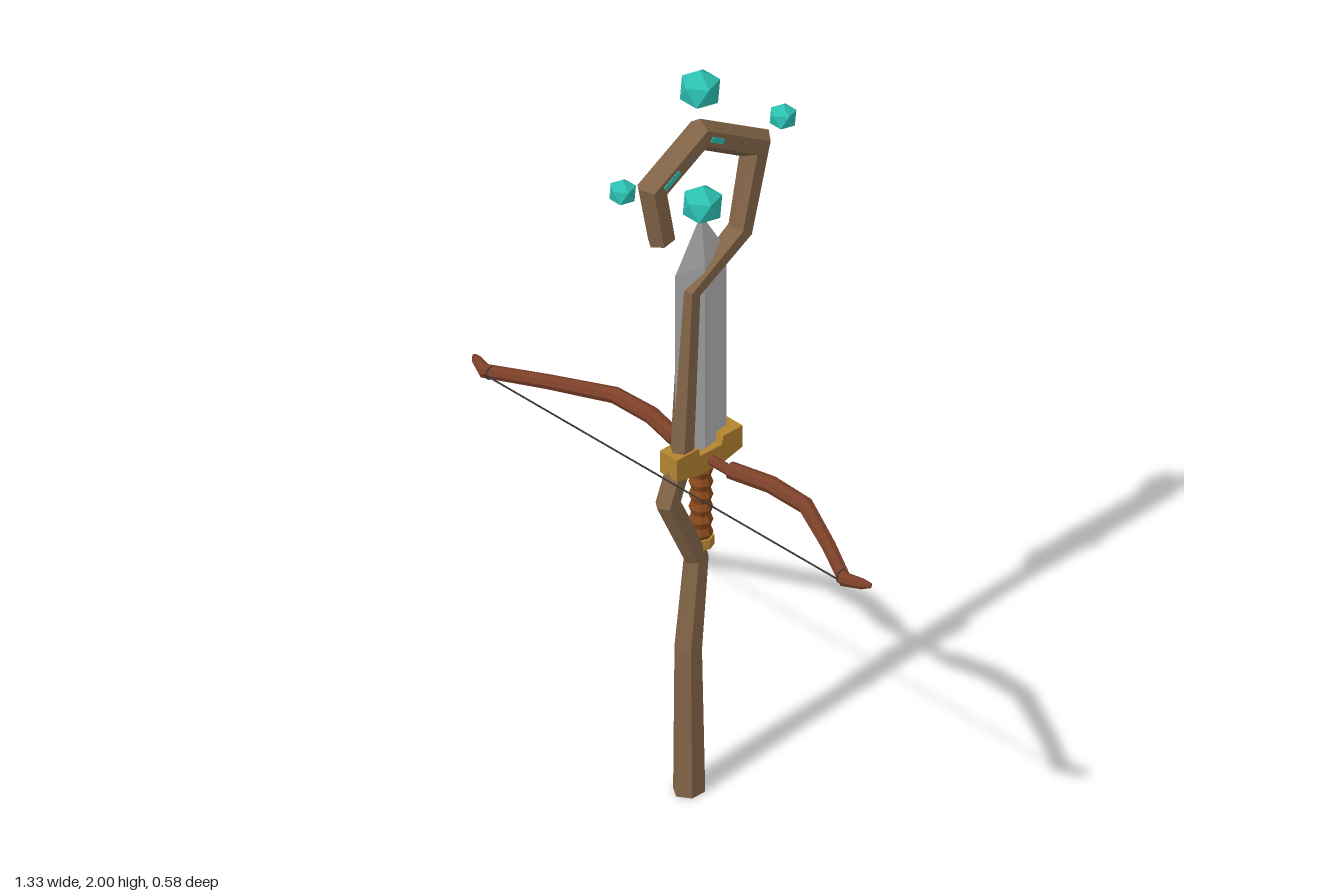
import * as THREE from 'three';
import { ConvexGeometry } from 'three/addons/geometries/ConvexGeometry.js';

const mat = (name, color) => {
  const m = new THREE.MeshStandardMaterial({ color });
  m.name = name;
  return m;
};

// give a geometry one flat normal per face
function faceted(geo) {
  const g = geo.index ? geo.toNonIndexed() : geo;
  g.computeVertexNormals();
  return g;
}

// mitred sweep along a planar path of [u, v, radius]; U and V are the plane's axes
function sweep(path, sides, U, V, flat = 1) {
  const W = new THREE.Vector3().crossVectors(U, V);
  const dirs = path.slice(1).map((p, i) =>
    new THREE.Vector2(p[0] - path[i][0], p[1] - path[i][1]).normalize());
  const pos = [], index = [], last = path.length - 1;
  const put = (u, v, w) => {
    const p = new THREE.Vector3().addScaledVector(U, u).addScaledVector(V, v).addScaledVector(W, w);
    pos.push(p.x, p.y, p.z);
  };
  path.forEach(([u, v, r], i) => {
    const a = dirs[Math.max(i - 1, 0)], b = dirs[Math.min(i, last - 1)];
    const t = a.clone().add(b).normalize();
    const miter = 1 / t.dot(a);
    for (let k = 0; k < sides; k++) {
      const ang = (k / sides) * Math.PI * 2;
      const n = r * Math.cos(ang) * miter;
      put(u - t.y * n, v + t.x * n, r * Math.sin(ang) * flat);
    }
  });
  for (let i = 0; i < last; i++) {
    for (let k = 0; k < sides; k++) {
      const k2 = (k + 1) % sides;
      const a = i * sides + k, b = i * sides + k2, c = b + sides, d = a + sides;
      index.push(a, b, c, a, c, d);
    }
  }
  const start = (last + 1) * sides;
  put(path[0][0], path[0][1], 0);
  put(path[last][0], path[last][1], 0);
  for (let k = 0; k < sides; k++) {
    const k2 = (k + 1) % sides;
    index.push(start, k2, k, start + 1, last * sides + k, last * sides + k2);
  }
  const g = new THREE.BufferGeometry();
  g.setAttribute('position', new THREE.Float32BufferAttribute(pos, 3));
  g.setIndex(index);
  return faceted(g);
}

export function createModel() {
  const model = new THREE.Group();
  const wood = mat('staffWood', 0x86674a);
  const bowWood = mat('bowWood', 0x7c4029);
  const steel = mat('steel', 0xbdbdbd);
  const gold = mat('gold', 0xb58531);
  const leather = mat('gripLeather', 0x8b4a1c);
  const crystal = mat('crystal', 0x2cc0b2);
  const cord = mat('cord', 0x3a3430);
  const X = new THREE.Vector3(1, 0, 0), Y = new THREE.Vector3(0, 1, 0), Z = new THREE.Vector3(0, 0, 1);

  const add = (name, geo, material, x = 0, y = 0, z = 0) => {
    const m = new THREE.Mesh(geo, material);
    m.name = name;
    m.position.set(x, y, z);
    model.add(m);
    return m;
  };

  // crooked staff with hooked head, [z, y, radius]
  add('staff', sweep([
    [0.043, 0, 0.042], [0.046, 0.4, 0.036], [0.02, 0.645, 0.032], [0.112, 0.835, 0.031],
    [0.066, 0.95, 0.031], [0.04, 1.395, 0.027], [-0.122, 1.495, 0.032], [-0.172, 1.712, 0.037],
    [0.01, 1.822, 0.037], [0.162, 1.737, 0.037], [0.132, 1.585, 0.036],
  ], 6, Z, Y, 0.88), wood);

  // glowing slivers inlaid on both sides of the hook
  for (const s of [-1, 1]) {
    add('inlay', new THREE.BoxGeometry(0.004, 0.014, 0.055), crystal, s * 0.028, 1.758, 0.125).rotation.x = 0.5;
    add('inlay', new THREE.BoxGeometry(0.004, 0.014, 0.045), crystal, s * 0.028, 1.803, -0.022).rotation.x = -0.54;
  }

  // blade with a central ridge and pointed tip
  const bladePts = [new THREE.Vector3(0, 1.595, 0.005)];
  for (const y of [0.93, 1.46]) {
    for (const [x, z] of [[0.014, 0.005], [-0.014, 0.005], [0, 0.088], [0, -0.077]]) {
      bladePts.push(new THREE.Vector3(x, y, z));
    }
  }
  add('blade', new ConvexGeometry(bladePts), steel);

  // crossguard with raised ends
  const guard = new THREE.Shape([
    [0.11, 0.967], [0.04, 0.967], [0.035, 0.945], [-0.035, 0.945], [-0.04, 0.967], [-0.102, 0.967],
    [-0.102, 0.908], [-0.04, 0.893], [0.045, 0.893], [0.11, 0.908],
  ].map(([z, y]) => new THREE.Vector2(-z, y)));
  const guardGeo = new THREE.ExtrudeGeometry(guard, { depth: 0.058, bevelEnabled: false });
  guardGeo.translate(0, 0, -0.029).rotateY(Math.PI / 2);
  add('crossguard', guardGeo, gold);

  // grip with wrapped ridges, and pommel
  const gripProfile = [];
  for (let i = 0; i <= 12; i++) {
    gripProfile.push(new THREE.Vector2(i % 2 ? 0.029 : 0.023, 0.69 + i * 0.0175));
  }
  add('grip', faceted(new THREE.LatheGeometry(gripProfile, 8)), leather, 0, 0, 0.005);
  add('pommel', faceted(new THREE.CylinderGeometry(0.031, 0.031, 0.026, 8)), gold, 0, 0.684, 0.005);

  // bow limbs, mirrored, [x, z, radius]
  const limb = [
    [0.09, -0.003, 0.021], [0.2, -0.029, 0.021], [0.32, -0.026, 0.02], [0.47, 0.048, 0.018],
    [0.603, 0.122, 0.017], [0.645, 0.105, 0.013], [0.664, 0.096, 0.006],
  ];
  for (const s of [-1, 1]) {
    add('bowLimb', sweep(limb.map(([x, z, r]) => [s * x, z, r]), 8, X, Z), bowWood, 0, 0.918, 0);
    add('stringLoop', new THREE.TorusGeometry(0.017, 0.002, 4, 10).rotateY(Math.PI / 2),
      cord, s * 0.587, 0.918, 0.116);
  }
  add('bowRod', faceted(new THREE.CylinderGeometry(0.013, 0.013, 0.2, 8).rotateZ(Math.PI / 2)), bowWood, 0, 0.918, 0);
  add('bowString', new THREE.CylinderGeometry(0.0022, 0.0022, 1.2, 6).rotateZ(Math.PI / 2), cord, 0, 0.918, 0.133);

  // floating crystals, [y, z, radius], each standing on a corner
  for (const [y, z, r] of [[1.947, 0.008, 0.053], [1.62, 0, 0.052], [1.775, 0.258, 0.035], [1.745, -0.26, 0.035]]) {
    const g = new THREE.IcosahedronGeometry(r, 0).rotateX(-1.0172);
    add('floatingCrystal', g, crystal, 0, y, z);
  }
  return model;
}
